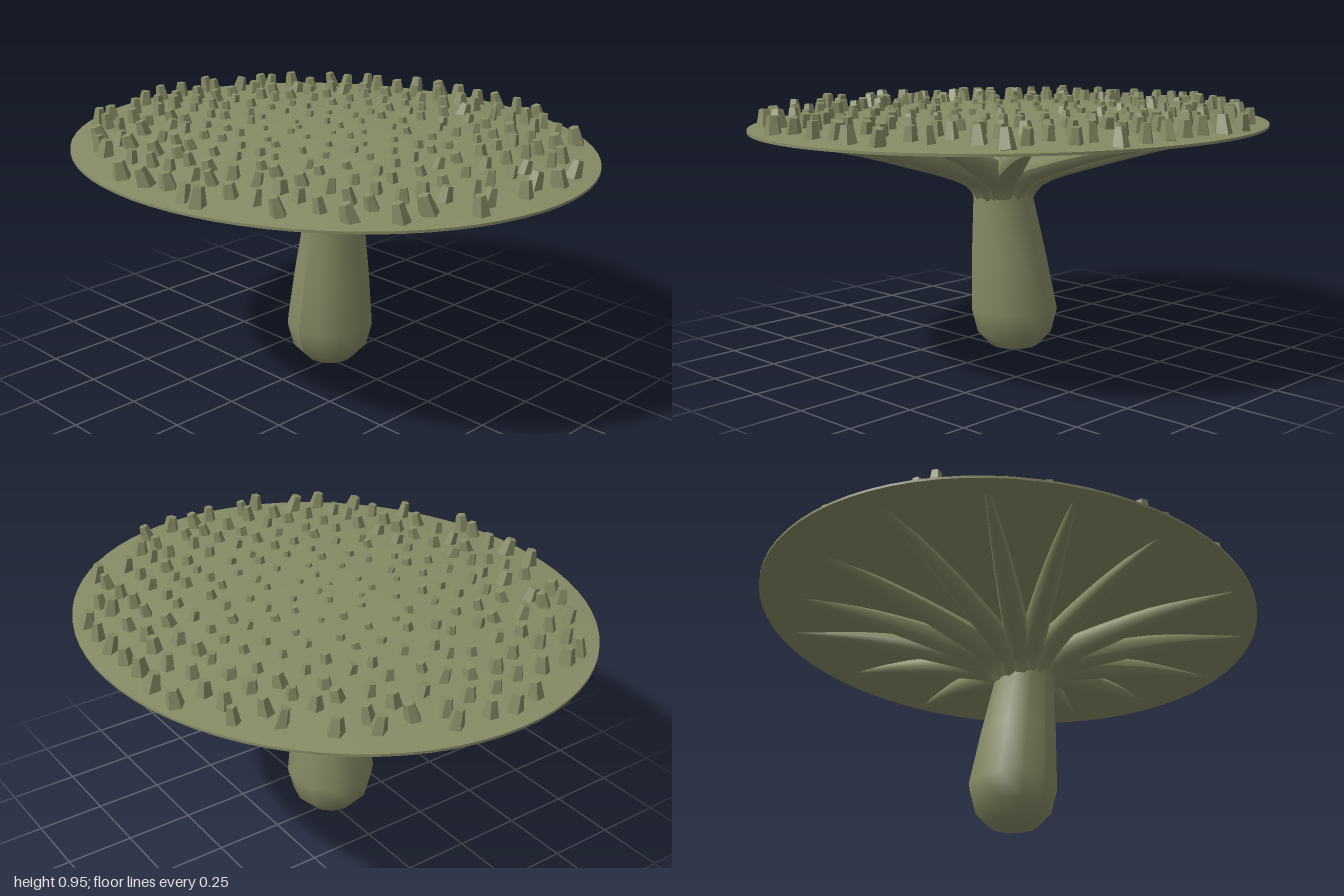
import * as THREE from 'three';
import { mergeGeometries, toCreasedNormals } from 'three/addons/utils/BufferGeometryUtils.js';

const DEPTH = 0.89; // plate is an ellipse, narrower in z
const LEAN = { x: 0.04, z: 0.018 }; // offset of the stem's top

// Small seeded random generator
function seeded(seed) {
  return () => {
    seed = (seed * 16807) % 2147483647;
    return seed / 2147483647;
  };
}

const plateTop = (r) => 0.872 + 0.053 * (1 - r * r);

// Tube whose radius follows a rule along its length
function taperedTube(curve, radiusAt, segments = 18, sides = 10) {
  const geo = new THREE.TubeGeometry(curve, segments, 1, sides, false);
  const pos = geo.attributes.position;
  const v = new THREE.Vector3();
  for (let i = 0; i <= segments; i++) {
    const c = curve.getPointAt(i / segments);
    for (let j = 0; j <= sides; j++) {
      const k = i * (sides + 1) + j;
      v.fromBufferAttribute(pos, k).sub(c).multiplyScalar(radiusAt(i / segments)).add(c);
      pos.setXYZ(k, v.x, v.y, v.z);
    }
  }
  geo.computeVertexNormals();
  return geo;
}

function makeStem() {
  const profile = [
    [0, 0.005], [0.09, 0.03], [0.142, 0.085], [0.165, 0.175], [0.143, 0.38],
    [0.114, 0.6], [0.122, 0.645], [0.14, 0.68], [0.1, 0.71], [0, 0.715],
  ].map(([x, y]) => new THREE.Vector2(x, y));
  const geo = new THREE.LatheGeometry(profile, 12);
  const pos = geo.attributes.position;
  // Shift the upper part sideways
  for (let i = 0; i < pos.count; i++) {
    const t = THREE.MathUtils.clamp((pos.getY(i) - 0.175) / 0.425, 0, 1);
    pos.setX(i, pos.getX(i) + LEAN.x * t);
    pos.setZ(i, pos.getZ(i) + LEAN.z * t);
  }
  geo.computeVertexNormals();
  return geo;
}

function makePlate() {
  const profile = [];
  // Underside from the centre to the rim, then the domed top back again
  for (let i = 0; i <= 8; i++) {
    const r = i / 8;
    profile.push(new THREE.Vector2(r, 0.825 + 0.038 * r * r));
  }
  for (let i = 10; i >= 0; i--) {
    const r = i / 10;
    profile.push(new THREE.Vector2(r, plateTop(r)));
  }
  const geo = new THREE.LatheGeometry(profile, 72);
  geo.scale(1, 1, DEPTH);
  return toCreasedNormals(geo, 0.6);
}

function makeBranches() {
  const rand = seeded(41);
  const count = 15;
  const parts = [];
  for (let i = 0; i < count; i++) {
    const a = ((i + 0.3 * (rand() - 0.5)) / count) * Math.PI * 2;
    const reach = 0.84 + 0.1 * rand();
    const at = (r, y) => {
      const k = Math.max(0, 1 - r); // lean fades towards the rim
      return new THREE.Vector3(Math.sin(a) * r + LEAN.x * k, y, Math.cos(a) * r * DEPTH + LEAN.z * k);
    };
    const curve = new THREE.CatmullRomCurve3([
      at(0.06, 0.6), at(0.11, 0.67), at(0.2, 0.715), at(0.38, 0.765), at(0.62, 0.818), at(reach, 0.86),
    ]);
    parts.push(taperedTube(curve, (t) => 0.042 * (1 - t * t) + 0.008));
  }
  return mergeGeometries(parts);
}

function makeNubs() {
  const rand = seeded(1234);
  const parts = [];
  for (let row = 0; row < 16; row++) {
    for (let col = 0; col < 19; col++) {
      const x = -0.91 + col * 0.105 + (rand() - 0.5) * 0.05;
      const z = -0.8 + row * 0.106 + (rand() - 0.5) * 0.04;
      const r = Math.hypot(x, z / DEPTH);
      const size = 0.85 + 0.3 * rand();
      const spin = rand() * 6.28;
      const tilt = (rand() - 0.5) * 0.5;
      if (r > 0.945) continue;
      // Nubs near the middle sink into the plate until only the tips show
      const narrow = size * (0.55 + 0.45 * Math.min(1, r / 0.7));
      const geo = new THREE.CylinderGeometry(0.018 * narrow, 0.031 * narrow, 0.07, 5).toNonIndexed();
      geo.rotateY(spin);
      geo.rotateX(tilt);
      geo.rotateZ(tilt * 0.6);
      geo.translate(x, 0.906 + 0.012 * (rand() - 0.5), z);
      geo.computeVertexNormals();
      parts.push(geo);
    }
  }
  return mergeGeometries(parts);
}

export function createModel() {
  const group = new THREE.Group();
  group.name = 'tableCoral';
  const olive = new THREE.MeshStandardMaterial({ color: 0x858b65 });
  olive.name = 'olive';

  const add = (name, geo) => {
    const mesh = new THREE.Mesh(geo, olive);
    mesh.name = name;
    group.add(mesh);
  };
  add('stem', makeStem());
  add('branches', makeBranches());
  add('plate', makePlate());
  add('nubs', makeNubs());
  return group;
}
